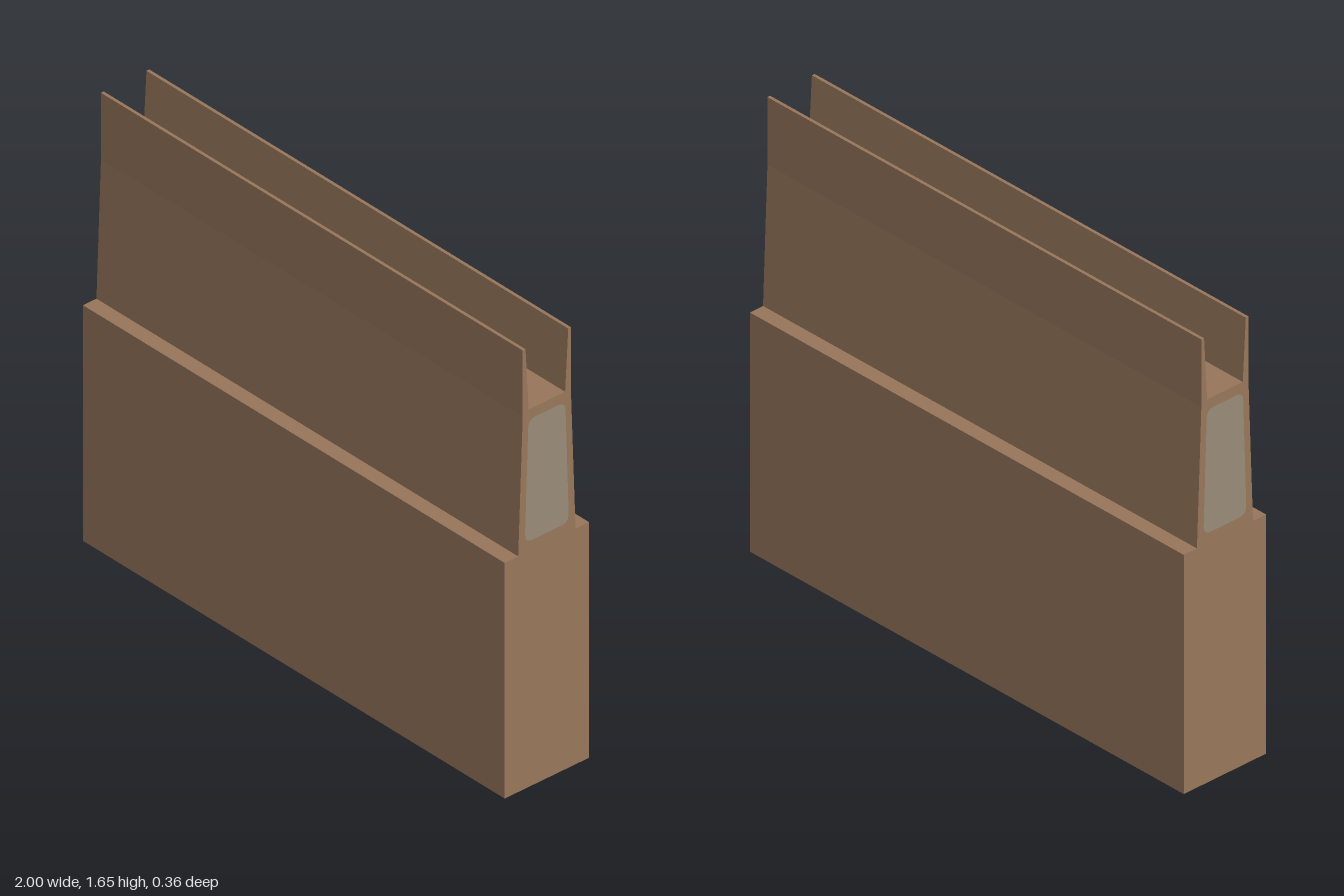
import * as THREE from 'three';

const HALF = 1; // half length along x

// half cross-section as [z, y], from the open bottom edge to the channel floor
const halfProfile = [
  [0.178, 0], [0.178, 0.885], [0.121, 0.885], [0.102, 1.4],
  [0.102, 1.65], [0.09, 1.65], [0.077, 1.418],
];
const profile = [
  ...halfProfile,
  ...[...halfProfile].reverse().map(([z, y]) => [-z, y]),
];

// tapered end panel outline with rounded corners
function panelOutline(PathType) {
  const b = 0.092, t = 0.079, y0 = 0.922, y1 = 1.38, r = 0.032;
  const p = new PathType();
  p.moveTo(-b + r, y0);
  p.lineTo(b - r, y0);
  p.quadraticCurveTo(b, y0, b, y0 + r);
  p.lineTo(t, y1 - r);
  p.quadraticCurveTo(t, y1, t - r, y1);
  p.lineTo(-t + r, y1);
  p.quadraticCurveTo(-t, y1, -t, y1 - r);
  p.lineTo(-b, y0 + r);
  p.quadraticCurveTo(-b, y0, -b + r, y0);
  return p;
}

// long outer skin: one flat strip per profile segment, bottom left open
function skinGeometry() {
  const pos = [];
  for (let i = 0; i < profile.length - 1; i++) {
    const [za, ya] = profile[i];
    const [zb, yb] = profile[i + 1];
    pos.push(-HALF, ya, za, HALF, ya, za, HALF, yb, zb);
    pos.push(-HALF, ya, za, HALF, yb, zb, -HALF, yb, zb);
  }
  const g = new THREE.BufferGeometry();
  g.setAttribute('position', new THREE.Float32BufferAttribute(pos, 3));
  g.computeVertexNormals();
  return g;
}

export function createModel() {
  const group = new THREE.Group();
  group.name = 'channelWall';

  const brown = new THREE.MeshStandardMaterial({ color: 0x98775b, side: THREE.DoubleSide });
  brown.name = 'brown';
  const grey = new THREE.MeshStandardMaterial({ color: 0x9a8c79, side: THREE.DoubleSide });
  grey.name = 'warmGrey';

  const add = (name, geometry, material) => {
    const mesh = new THREE.Mesh(geometry, material);
    mesh.name = name;
    group.add(mesh);
  };

  add('wallSkin', skinGeometry(), brown);

  // end caps with a flush panel set into each
  const capShape = new THREE.Shape(profile.map(([z, y]) => new THREE.Vector2(z, y)));
  capShape.holes.push(panelOutline(THREE.Path));
  const panelShape = panelOutline(THREE.Shape);
  for (const [side, s] of [['left', 1], ['right', -1]]) {
    const place = (shape) =>
      new THREE.ShapeGeometry(shape, 6).rotateY(s * Math.PI / 2).translate(s * HALF, 0, 0);
    add(side + 'EndCap', place(capShape), brown);
    add(side + 'EndPanel', place(panelShape), grey);
  }
  return group;
}
